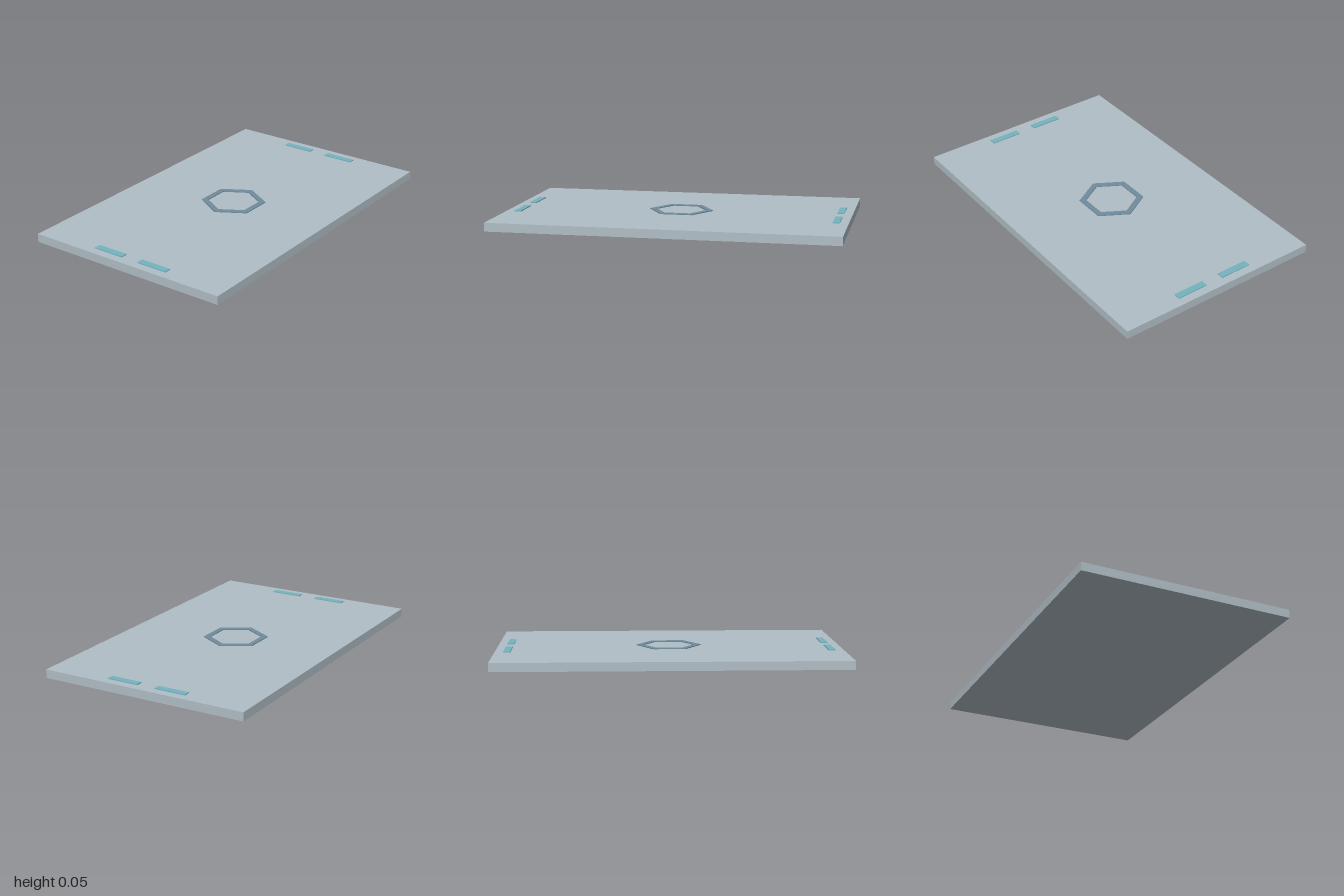
import * as THREE from 'three';

export function createModel() {
  const model = new THREE.Group();
  const material = (name, color) => {
    const m = new THREE.MeshStandardMaterial({ color });
    m.name = name;
    return m;
  };
  const paleSteel = material('paleSteel', 0xb0bec5);
  const slateBlue = material('slateBlue', 0x708c9e);
  const teal = material('teal', 0x74b3be);

  const thickness = 0.05;
  const relief = 0.005;

  const add = (name, geometry, mat, x, y, z) => {
    const mesh = new THREE.Mesh(geometry, mat);
    mesh.name = name;
    mesh.position.set(x, y, z);
    model.add(mesh);
  };

  // Flat rectangular slab
  add('slab', new THREE.BoxGeometry(2, thickness, 1.25), paleSteel, 0, thickness / 2, 0);

  // Raised hexagonal ring in the middle, corners pointing along x
  const hexagon = (radius) => Array.from({ length: 6 }, (_, i) => {
    const a = (i * Math.PI) / 3;
    return new THREE.Vector2(radius * Math.cos(a), radius * Math.sin(a));
  });
  const ringShape = new THREE.Shape(hexagon(0.1875));
  ringShape.holes.push(new THREE.Path(hexagon(0.15)));
  const ring = new THREE.ExtrudeGeometry(ringShape, { depth: relief, bevelEnabled: false });
  ring.rotateX(-Math.PI / 2);
  add('hexagonRing', ring, slateBlue, 0, thickness, 0);

  // Two raised strips beside each short edge
  const strip = new THREE.BoxGeometry(0.04, relief, 0.19);
  for (const [side, sx] of [['left', 1], ['right', -1]]) {
    for (const [end, sz] of [['Front', 1], ['Back', -1]]) {
      add(`${side}${end}Strip`, strip, teal, sx * 0.93, thickness + relief / 2, sz * 0.15);
    }
  }
  return model;
}
